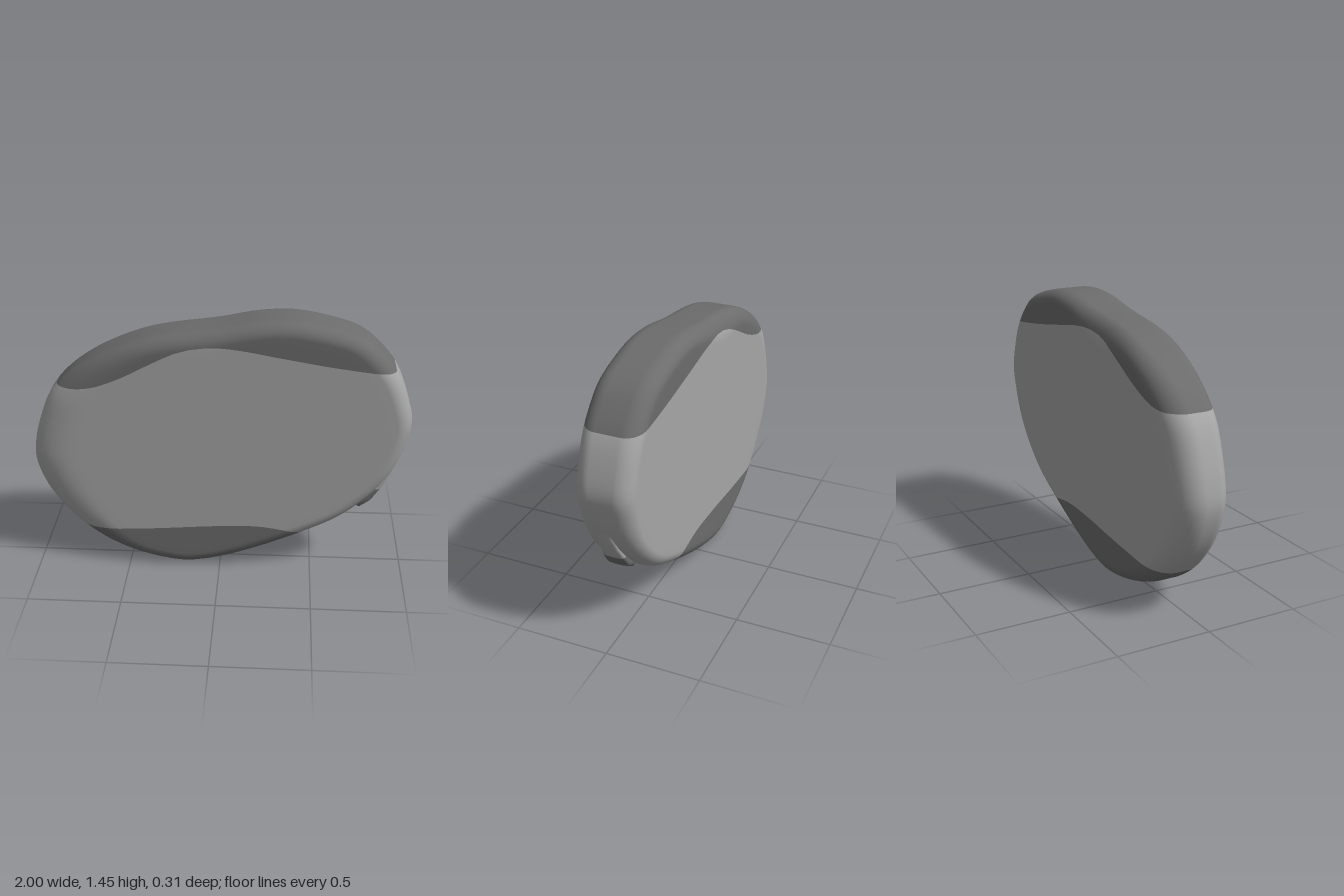
import * as THREE from 'three';

const lightStone = new THREE.MeshStandardMaterial({ color: 0xa6a6a6 });
lightStone.name = 'lightStone';
const darkStone = new THREE.MeshStandardMaterial({ color: 0x6c6c6c });
darkStone.name = 'darkStone';

const spline = (pts, closed = false) =>
  new THREE.CatmullRomCurve3(pts.map(([x, y, z = 0]) => new THREE.Vector3(x, y, z)), closed, 'centripetal');

// y of a left-to-right curve at a given x
function heightCurve(pts) {
  const s = spline(pts).getPoints(160);
  return (x) => {
    let i = 0;
    while (i < s.length - 2 && s[i + 1].x < x) i++;
    const t = THREE.MathUtils.clamp((x - s[i].x) / (s[i + 1].x - s[i].x), 0, 1);
    return s[i].y + t * (s[i + 1].y - s[i].y);
  };
}

// Smooth skin over closed rings of equal length
function loft(rings) {
  const n = rings[0].length, index = [];
  for (let r = 0; r < rings.length - 1; r++) {
    for (let i = 0; i < n; i++) {
      const j = (i + 1) % n, a = r * n + i, b = r * n + j;
      index.push(a, b, a + n, b, b + n, a + n);
    }
  }
  const g = new THREE.BufferGeometry().setFromPoints(rings.flat());
  g.setIndex(index);
  g.computeVertexNormals();
  return g.toNonIndexed();
}

// Keeps the part of a surface where f(x, y) is positive
function clip(geo, f) {
  const P = geo.attributes.position, N = geo.attributes.normal, pos = [], nor = [];
  for (let t = 0; t < P.count; t += 3) {
    const tri = [0, 1, 2].map((k) => {
      const p = new THREE.Vector3().fromBufferAttribute(P, t + k);
      return { p, n: new THREE.Vector3().fromBufferAttribute(N, t + k), d: f(p.x, p.y) };
    });
    const poly = [];
    tri.forEach((a, k) => {
      const b = tri[(k + 1) % 3];
      if (a.d >= 0) poly.push(a);
      if ((a.d >= 0) !== (b.d >= 0)) {
        const s = a.d / (a.d - b.d);
        poly.push({ p: a.p.clone().lerp(b.p, s), n: a.n.clone().lerp(b.n, s).normalize() });
      }
    });
    for (let k = 1; k < poly.length - 1; k++) {
      for (const v of [poly[0], poly[k], poly[k + 1]]) {
        pos.push(...v.p.toArray());
        nor.push(...v.n.toArray());
      }
    }
  }
  const g = new THREE.BufferGeometry();
  g.setAttribute('position', new THREE.Float32BufferAttribute(pos, 3));
  g.setAttribute('normal', new THREE.Float32BufferAttribute(nor, 3));
  return g;
}

// Flat pebble: irregular outline with differently rounded edges
function slabGeometry() {
  const outline = spline([
    [-1, 0.62], [-0.99, 0.74], [-0.95, 0.88], [-0.9, 1.0], [-0.84, 1.08], [-0.75, 1.16], [-0.6, 1.25],
    [-0.35, 1.345], [0, 1.4], [0.2, 1.437], [0.37, 1.445], [0.53, 1.42], [0.72, 1.36], [0.83, 1.27],
    [0.91, 1.17], [0.97, 1.03], [1, 0.9], [0.98, 0.78], [0.94, 0.66], [0.88, 0.55], [0.78, 0.43],
    [0.65, 0.32], [0.47, 0.22], [0.25, 0.12], [0.03, 0.04], [-0.1, 0.01], [-0.2, 0], [-0.38, 0.03],
    [-0.6, 0.11], [-0.75, 0.21], [-0.86, 0.32], [-0.95, 0.46],
  ], true).getPoints(128).slice(0, -1);
  const cx = 0, cy = 0.72;

  // One ring: side is +1 front or -1 back, phi the edge roundness angle, s the cap scale
  const ring = (side, phi, s) => outline.map((o) => {
    const left = THREE.MathUtils.smoothstep(-o.x, 0.4, 1);
    const dip = o.y > cy ? Math.exp(-(((o.x + 0.22) / 0.25) ** 2)) : 0;
    const inset = side > 0 ? 0.08 + 0.14 * left : 0.08 + 0.06 * left + 0.05 * dip;
    const round = side > 0 ? 0.085 + 0.02 * left : 0.09 + 0.03 * left;
    const k = s * (1 - inset * (1 - Math.cos(phi)) / Math.hypot(o.x - cx, o.y - cy));
    const x = cx + (o.x - cx) * k, y = cy + (o.y - cy) * k;
    const face = side > 0 ? 0.13 + 0.018 * y : -0.145 - 0.009 * y;
    return new THREE.Vector3(x, y, face - side * round * (1 - Math.sin(phi)));
  });

  const rings = [], steps = 8, caps = 16;
  for (let i = 0; i < caps; i++) rings.push(ring(1, Math.PI / 2, i / caps));
  for (let i = steps; i >= 0; i--) rings.push(ring(1, (i / steps) * Math.PI / 2, 1));
  for (let i = 0; i <= steps; i++) rings.push(ring(-1, (i / steps) * Math.PI / 2, 1));
  for (let i = caps - 1; i >= 0; i--) rings.push(ring(-1, Math.PI / 2, i / caps));
  return loft(rings);
}

// Slim ridge lying along the lower right-hand edge: x, y, half width, half thickness
function ridgeGeometry() {
  const sections = [
    [0.945, 0.74, 0, 0], [0.943, 0.735, 0.028, 0.012], [0.92, 0.65, 0.042, 0.022], [0.885, 0.57, 0.052, 0.024],
    [0.845, 0.5, 0.06, 0.024], [0.795, 0.43, 0.063, 0.026], [0.745, 0.385, 0.058, 0.018], [0.735, 0.378, 0, 0],
  ];
  const n = 20;
  return loft(sections.map(([x, y, w, h]) => Array.from({ length: n }, (_, i) => {
    const a = (i / n) * Math.PI * 2, c = Math.cos(a), s = Math.sin(a);
    const u = Math.sign(c) * Math.abs(c) ** 0.6 * h, v = Math.sign(s) * Math.abs(s) ** 0.6 * w;
    return new THREE.Vector3(x + 0.84 * u, y - 0.54 * u, 0.015 + v);
  })));
}

export function createModel() {
  const group = new THREE.Group();
  group.name = 'pebble';
  const add = (name, geo, mat) => {
    const m = new THREE.Mesh(geo, mat);
    m.name = name;
    group.add(m);
  };

  // Borders between the dark bands and the light middle
  const upper = heightCurve([
    [-1.05, 1.07], [-0.84, 1.06], [-0.76, 1.06], [-0.65, 1.08], [-0.5, 1.14], [-0.35, 1.22], [-0.2, 1.29],
    [-0.05, 1.315], [0.1, 1.305], [0.3, 1.27], [0.6, 1.22], [0.9, 1.185], [1.05, 1.18],
  ]);
  const lower = heightCurve([
    [-1.05, 0.22], [-0.76, 0.22], [-0.4, 0.235], [0, 0.265], [0.2, 0.27], [0.35, 0.25], [0.47, 0.22], [1.05, 0.2],
  ]);

  const slab = slabGeometry();
  add('upperBand', clip(slab, (x, y) => y - upper(x)), darkStone);
  add('lowerBand', clip(slab, (x, y) => lower(x) - y), darkStone);
  const belowUpper = clip(slab, (x, y) => upper(x) - y);
  add('middleBand', clip(belowUpper, (x, y) => y - lower(x)), lightStone);

  const ridge = ridgeGeometry();
  add('ridgeTop', clip(ridge, (x, y) => y - 0.49), lightStone);
  add('ridgeFoot', clip(ridge, (x, y) => 0.49 - y), darkStone);
  return group;
}
